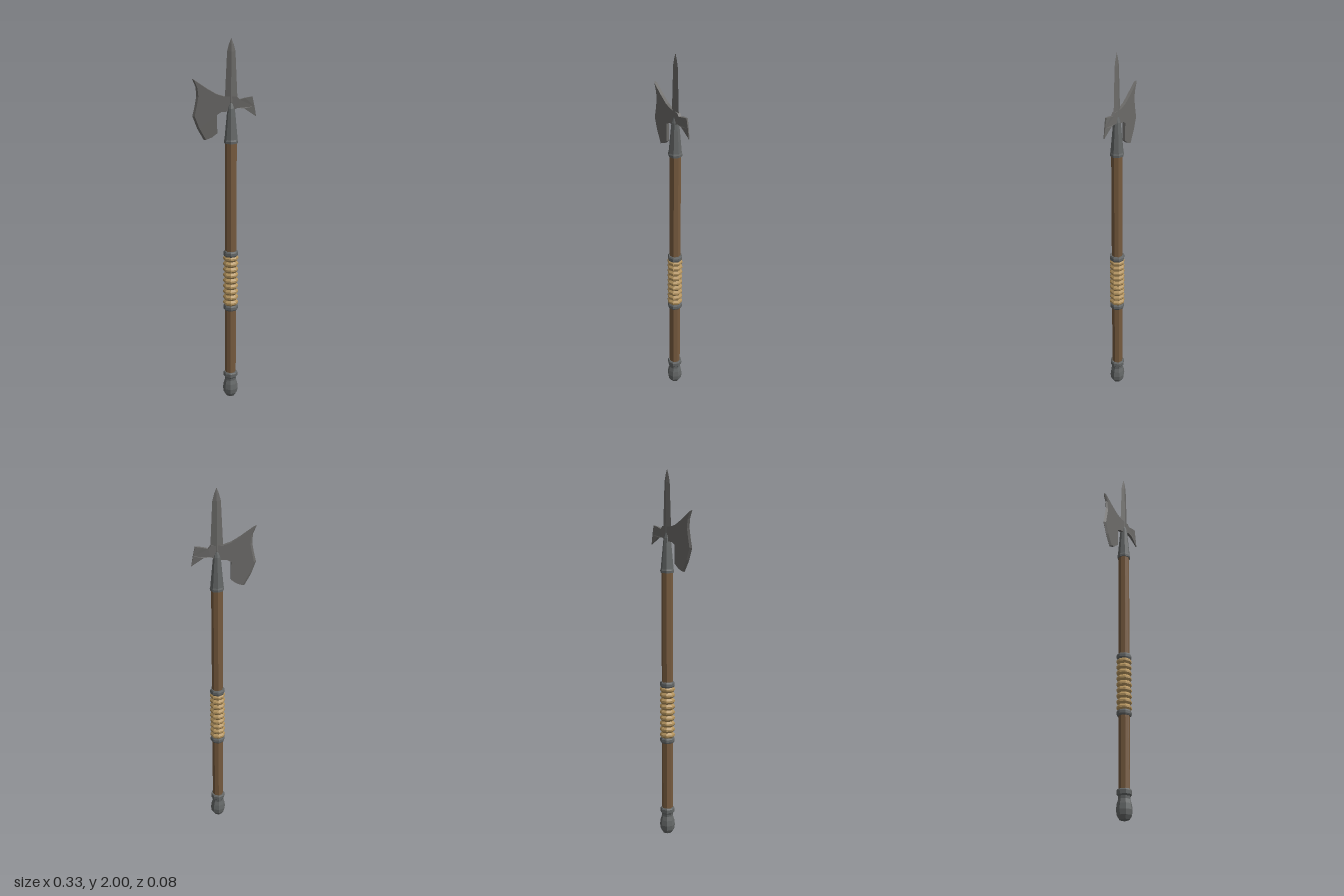
import * as THREE from 'three';

const CX = 0.034; // pole axis
const HALF = 0.008; // half thickness of the head plate

const mat = (name, color) => {
  const m = new THREE.MeshStandardMaterial({ color });
  m.name = name;
  return m;
};

// Faceted normals for the low-poly look
function facet(geo) {
  const g = geo.index ? geo.toNonIndexed() : geo;
  g.computeVertexNormals();
  return g;
}

// Turned part from [radius, y] pairs, listed bottom to top
function turned(profile, sides = 8) {
  return new THREE.LatheGeometry(profile.map(([r, y]) => new THREE.Vector2(r, y)), sides);
}

// Flat plate in the xy plane, centred on z = 0
function plate(outline) {
  const shape = new THREE.Shape(outline.map(([x, y]) => new THREE.Vector2(x, y)));
  const g = new THREE.ExtrudeGeometry(shape, { depth: 2 * HALF, bevelEnabled: false });
  return g.translate(0, 0, -HALF);
}

// Sharp wedge strip: edge points at z = 0, inner points at +/- HALF, listed top to bottom
function wedge(edge, inner) {
  const pos = [];
  const tri = (...pts) => pts.forEach((p) => pos.push(...p));
  const E = edge.map(([x, y]) => [x, y, 0]);
  const F = inner.map(([x, y]) => [x, y, HALF]);
  const B = inner.map(([x, y]) => [x, y, -HALF]);
  const n = E.length - 1;
  for (let i = 0; i < n; i++) {
    tri(E[i], E[i + 1], F[i + 1]);
    tri(E[i], F[i + 1], F[i]);
    tri(E[i], B[i + 1], E[i + 1]);
    tri(E[i], B[i], B[i + 1]);
  }
  tri(E[0], F[0], B[0]);
  tri(E[n], B[n], F[n]);
  const g = new THREE.BufferGeometry();
  g.setAttribute('position', new THREE.Float32BufferAttribute(pos, 3));
  return g;
}

export function createModel() {
  const model = new THREE.Group();
  model.name = 'poleaxe';
  const steel = mat('blade steel', 0x6c6b69);
  const iron = mat('dark iron', 0x646767);
  const wood = mat('brown wood', 0x765a3e);
  const cord = mat('tan cord', 0xb4945f);

  const add = (name, geo, material, x = 0) => {
    const mesh = new THREE.Mesh(facet(geo), material);
    mesh.name = name;
    mesh.position.x = x;
    model.add(mesh);
  };

  // Pole
  add('shaft', turned([[0, 0.1], [0.03, 0.1], [0.03, 1.5], [0, 1.5]]), wood, CX);

  // Rounded foot with collar
  add('pommel', turned([
    [0, 0], [0.026, 0.008], [0.038, 0.028], [0.042, 0.055], [0.038, 0.085], [0.031, 0.108],
    [0.032, 0.122], [0.039, 0.13], [0.04, 0.15], [0.036, 0.157], [0.029, 0.157],
  ]), iron, CX);

  // Ridged cord grip
  const grip = [[0.029, 0.56]];
  const turns = 9, low = 0.565, pitch = 0.29 / turns;
  for (let i = 0; i < turns; i++) {
    const y = low + i * pitch;
    grip.push([0.032, y], [0.041, y + pitch * 0.35], [0.041, y + pitch * 0.65]);
  }
  grip.push([0.032, low + turns * pitch], [0.029, 0.86]);
  add('gripWrap', turned(grip), cord, CX);

  // Rings at both ends of the grip
  for (const [name, y] of [['lowerGripRing', 0.552], ['upperGripRing', 0.866]]) {
    add(name, turned([
      [0.029, y - 0.015], [0.036, y - 0.015], [0.04, y - 0.007],
      [0.04, y + 0.007], [0.036, y + 0.015], [0.029, y + 0.015],
    ]), iron, CX);
  }

  // Tapered head socket
  add('socket', turned([
    [0.029, 1.47], [0.036, 1.47], [0.037, 1.482], [0.034, 1.49],
    [0.023, 1.61], [0.019, 1.65], [0.009, 1.68], [0, 1.685],
  ]), iron, CX);

  // Axe blade body, with its sharpened edge as a wedge
  const edge = [[-0.164, 1.8], [-0.146, 1.758], [-0.143, 1.71], [-0.152, 1.66], [-0.164, 1.61], [-0.14, 1.545], [-0.106, 1.485]];
  const inner = [[-0.152, 1.793], [-0.136, 1.752], [-0.132, 1.71], [-0.141, 1.66], [-0.152, 1.61], [-0.129, 1.55], [-0.095, 1.488]];
  add('axeBlade', plate([
    ...inner, [-0.065, 1.5], [-0.037, 1.522], [-0.037, 1.618], [-0.015, 1.632], [CX, 1.635],
    [CX, 1.71], [0, 1.71], [-0.04, 1.722], [-0.085, 1.748],
  ]), steel);
  add('cuttingEdge', wedge(edge, inner), steel);

  // Rear beak, thinning towards its tip
  const beak = plate([
    [CX, 1.635], [0.065, 1.652], [0.1, 1.65], [0.162, 1.608], [0.153, 1.66], [0.142, 1.71],
    [0.105, 1.703], [0.077, 1.695], [0.064, 1.71], [CX, 1.71],
  ]);
  const p = beak.attributes.position;
  for (let i = 0; i < p.count; i++) {
    const t = Math.max(0, (p.getX(i) - 0.1) / 0.062);
    p.setZ(i, p.getZ(i) * (1 - 0.75 * t));
  }
  add('rearBeak', beak, steel);

  // Top spike with a diamond section
  const spike = turned([[0, 1.62], [0.033, 1.68], [0.031, 1.72], [0.021, 1.935], [0.012, 1.97], [0, 2]], 4);
  add('topSpike', spike.scale(1, 1, 0.3), steel, CX);

  return model;
}
